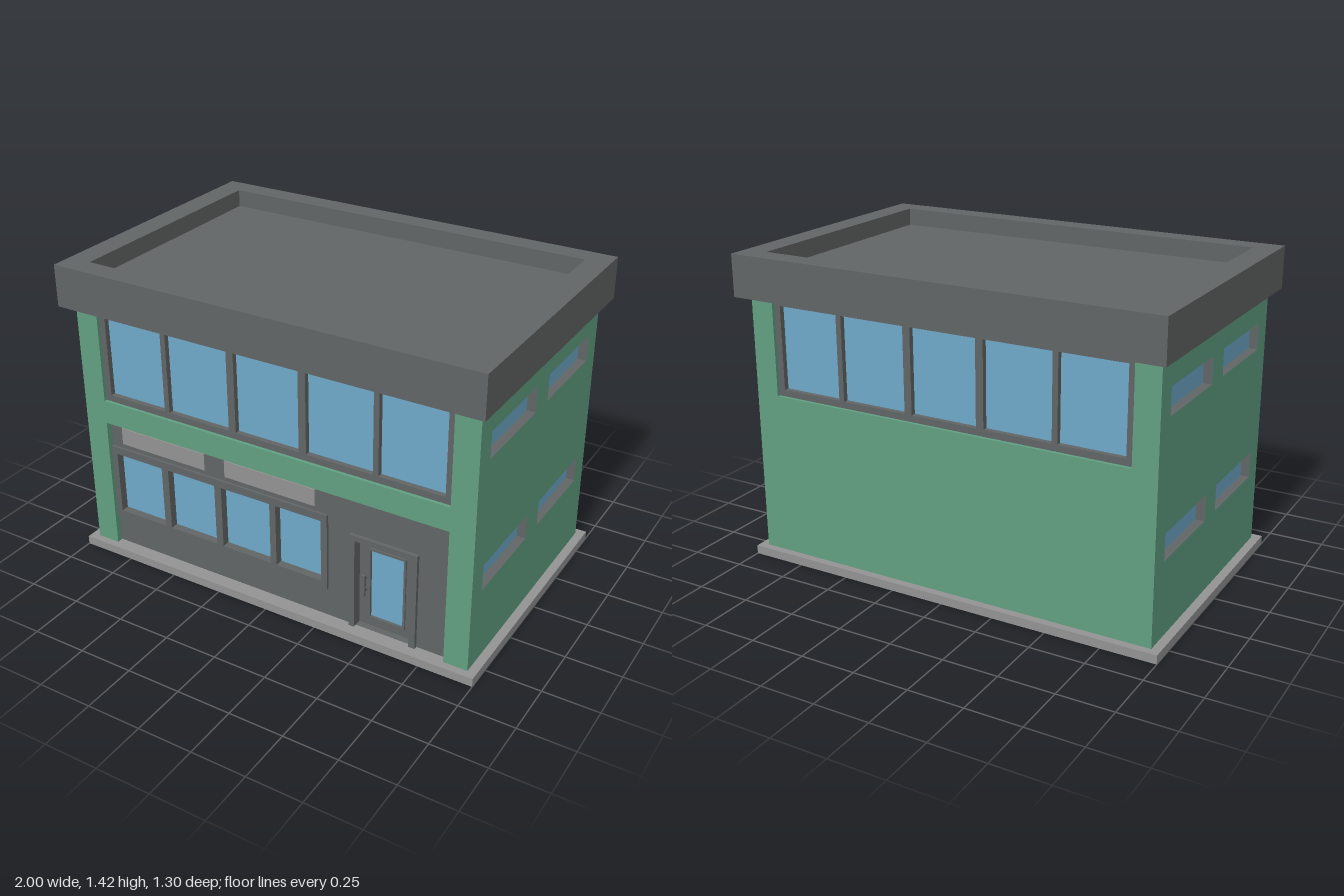
import * as THREE from 'three';

const mat = (name, color) => {
  const m = new THREE.MeshStandardMaterial({ color });
  m.name = name;
  return m;
};

export function createModel() {
  const green = mat('green wall', 0x61a083);
  const gray = mat('dark gray trim', 0x626565);
  const light = mat('light gray concrete', 0x939393);
  const glass = mat('blue glass', 0x6fa8c9);

  const model = new THREE.Group();
  model.name = 'building';

  // box given by its limits on each axis
  const box = (name, material, [x0, x1], [y0, y1], [z0, z1], parent = model) => {
    const m = new THREE.Mesh(new THREE.BoxGeometry(x1 - x0, y1 - y0, z1 - z0), material);
    m.position.set((x0 + x1) / 2, (y0 + y1) / 2, (z0 + z1) / 2);
    m.name = name;
    parent.add(m);
    return m;
  };

  const corners = ([x0, x1, y0, y1]) => [[x0, y0], [x1, y0], [x1, y1], [x0, y1]]
    .map(([x, y]) => new THREE.Vector2(x, y));

  // upright plate with rectangular holes, its front face at zFront
  const plate = (name, material, outline, holes, zFront, depth, parent = model) => {
    const shape = new THREE.Shape(corners(outline));
    holes.forEach(h => shape.holes.push(new THREE.Path(corners(h).reverse())));
    const g = new THREE.ExtrudeGeometry(shape, { depth, bevelEnabled: false });
    g.translate(0, 0, zFront - depth);
    const m = new THREE.Mesh(g, material);
    m.name = name;
    parent.add(m);
    return m;
  };

  // framed row of panes with the glass set back
  const windowRow = (name, outline, spans, y0, y1, zFront, depth, parent) => {
    const g = new THREE.Group();
    g.name = name;
    plate('windowFrame', gray, outline, spans.map(([a, b]) => [a, b, y0, y1]), zFront, depth, g);
    spans.forEach(([a, b]) => box('windowPane', glass, [a - 0.005, b + 0.005],
      [y0 - 0.005, y1 + 0.005], [zFront - depth - 0.01, zFront - depth + 0.003], g));
    parent.add(g);
  };

  // base slab
  box('base', light, [-1, 1], [0, 0.04], [-0.62, 0.62]);

  // front and back: corner piers and the upper window row
  const upperSpans = [[-0.82, -0.525], [-0.5, -0.19], [-0.155, 0.155], [0.19, 0.5], [0.525, 0.82]];
  for (const side of ['front', 'back']) {
    const face = new THREE.Group();
    face.name = side + 'Face';
    if (side === 'back') face.rotation.y = Math.PI;
    const z = [0.525, 0.585];
    for (const s of [-1, 1]) {
      box('cornerPier', green, s < 0 ? [-0.96, -0.85] : [0.85, 0.96], [0.04, 1.23], z, face);
    }
    box('wallBand', green, [-0.85, 0.85], [side === 'front' ? 0.675 : 0.04, 0.785], z, face);
    windowRow('upperWindows', [-0.85, 0.85, 0.785, 1.23], upperSpans, 0.815, 1.195, 0.57, 0.027, face);
    model.add(face);
  }

  // side walls with slot windows lined in gray
  const slots = [];
  for (const y of [0.38, 0.985]) {
    for (const z of [[-0.49, -0.06], [0.06, 0.49]]) slots.push([...z, y, y + 0.12]);
  }
  for (const s of [-1, 1]) {
    const wall = new THREE.Group();
    wall.name = s > 0 ? 'leftWall' : 'rightWall';
    wall.rotation.y = s * Math.PI / 2;
    plate('sideWall', [green, gray], [-0.525, 0.525, 0.04, 1.23], slots, 0.96, 0.06, wall);
    slots.forEach(([a, b, c, d]) => box('sidePane', glass, [a, b], [c, d], [0.905, 0.92], wall));
    model.add(wall);
  }

  // recessed shopfront panel with openings for the windows and door
  plate('shopfrontPanel', gray, [-0.85, 0.85, 0.04, 0.675],
    [[-0.82, 0.255, 0.21, 0.52], [0.42, 0.68, 0.0405, 0.475]], 0.555, 0.04);
  windowRow('lowerWindows', [-0.85, 0.285, 0.18, 0.55],
    [[-0.82, -0.57], [-0.535, -0.285], [-0.25, 0], [0.03, 0.255]], 0.215, 0.515, 0.567, 0.04, model);
  for (const x of [[-0.785, -0.335], [-0.23, 0.225]]) {
    box('blankSignPanel', light, x, [0.575, 0.655], [0.55, 0.563]);
  }

  // door: surround, slab, glazing bead, glass and pull handle
  const door = new THREE.Group();
  door.name = 'door';
  for (const x of [[0.395, 0.42], [0.68, 0.71]]) {
    box('doorJamb', gray, x, [0.04, 0.5], [0.52, 0.572], door);
  }
  box('doorHead', gray, [0.42, 0.68], [0.475, 0.5], [0.52, 0.572], door);
  plate('doorSlab', gray, [0.42, 0.68, 0.04, 0.475], [[0.475, 0.63, 0.09, 0.425]], 0.525, 0.02, door);
  plate('glazingBead', gray, [0.465, 0.64, 0.08, 0.435], [[0.475, 0.63, 0.09, 0.425]], 0.532, 0.01, door);
  box('doorGlass', glass, [0.475, 0.63], [0.09, 0.425], [0.51, 0.52], door);
  box('doorHandle', gray, [0.444, 0.458], [0.2, 0.3], [0.54, 0.552], door);
  for (const y of [0.215, 0.275]) {
    box('handleMount', gray, [0.447, 0.455], [y, y + 0.01], [0.52, 0.545], door);
  }
  model.add(door);

  // flat roof with a raised parapet all round
  const parapet = plate('parapet', gray, [-1, 1, -0.65, 0.65], [[-0.89, 0.89, -0.55, 0.55]], 0.19, 0.19);
  parapet.rotation.x = -Math.PI / 2;
  parapet.position.y = 1.23;
  box('roofDeck', gray, [-0.89, 0.89], [1.23, 1.34], [-0.55, 0.55]);

  return model;
}
